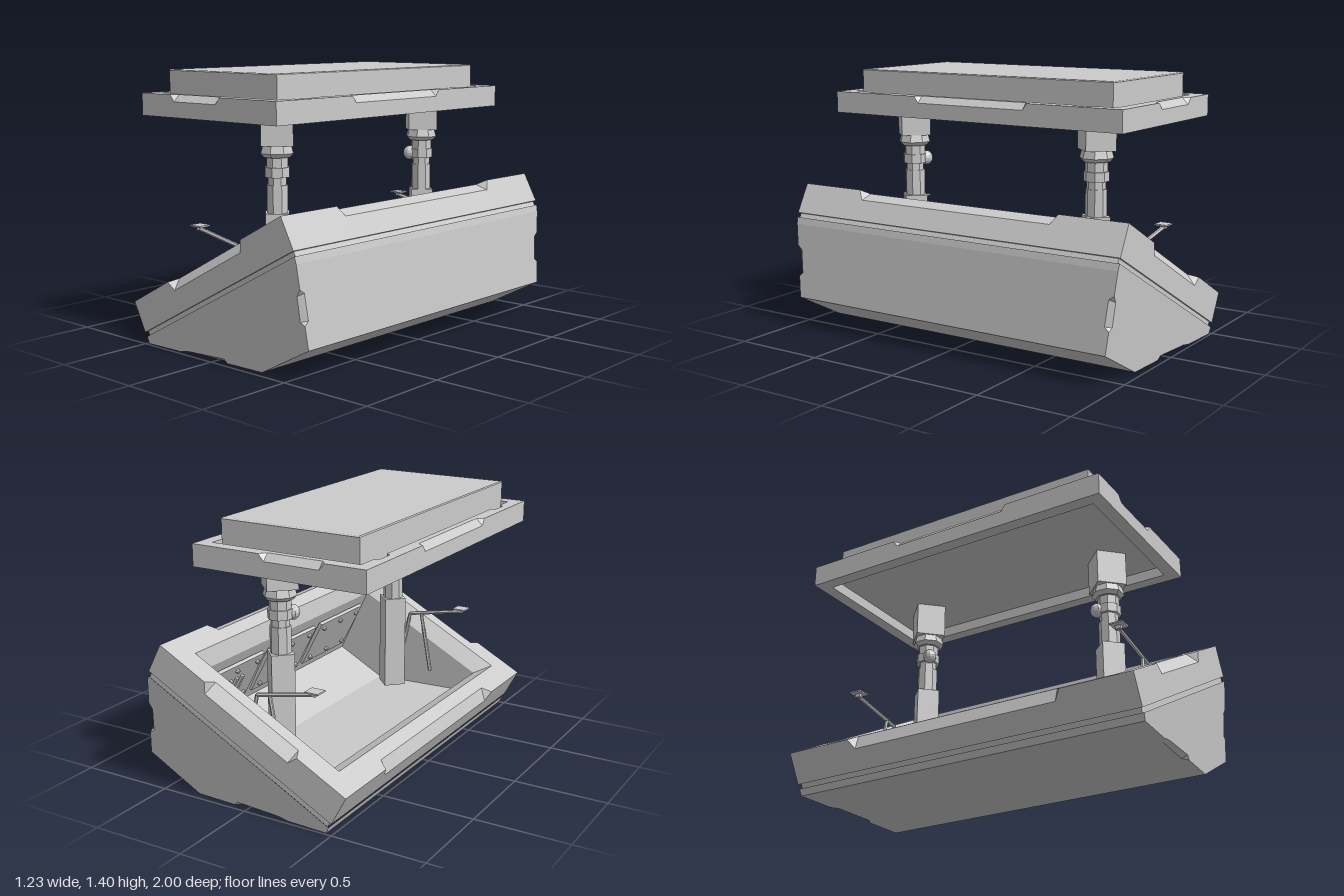
import * as THREE from 'three';

const grey = new THREE.MeshStandardMaterial({ color: 0xcccccc, flatShading: true });
const greyBoth = new THREE.MeshStandardMaterial({ color: 0xcccccc, flatShading: true, side: THREE.DoubleSide });

function add(parent, name, geometry, x = 0, y = 0, z = 0, material = grey) {
  const mesh = new THREE.Mesh(geometry, material);
  mesh.name = name;
  mesh.position.set(x, y, z);
  parent.add(mesh);
  return mesh;
}

function faceted(triangles) {
  const g = new THREE.BufferGeometry().setFromPoints(triangles);
  g.computeVertexNormals();
  return g;
}

function quad(out, a, b, c, d) {
  out.push(a, b, c, a, c, d);
}

// Rectangular ring: section(cut, innerCut) lists [inset, height] from outer bottom to inner edge.
// Each side is a list of [offset along the side, cut, innerCut].
function frame(x0, x1, hz, xSide, zSide, section) {
  const back = side => [...side].reverse();
  const stations = [
    [x0, hz, 0, 0], ...xSide.map(([t, c, k = 0]) => [t, hz, c, k]),
    [x1, hz, 0, 0], ...back(zSide).map(([t, c, k = 0]) => [x1, t, c, k]),
    [x1, -hz, 0, 0], ...back(xSide).map(([t, c, k = 0]) => [t, -hz, c, k]),
    [x0, -hz, 0, 0], ...zSide.map(([t, c, k = 0]) => [x0, t, c, k]),
  ];
  const clamp = THREE.MathUtils.clamp;
  const rings = stations.map(([x, z, c, k]) => section(c, k).map(([inset, y]) =>
    new THREE.Vector3(clamp(x, x0 + inset, x1 - inset), y, clamp(z, -hz + inset, hz - inset))));
  const out = [];
  rings.forEach((r, i) => {
    const n = rings[(i + 1) % rings.length];
    for (let j = 0; j < r.length - 1; j++) quad(out, r[j], n[j], n[j + 1], r[j + 1]);
  });
  return faceted(out);
}

// Four stations that describe one chamfered notch along an edge
const notch = (mid, half, slope, cut) =>
  [[mid - half, 0], [mid - half + slope, cut], [mid + half - slope, cut], [mid + half, 0]];

// Trough with an open top: path of [x, y, edgeCut] run counter-clockwise, capped at both ends
function trough(path, halfZ) {
  const cx = path.reduce((s, p) => s + p[0], 0) / path.length;
  const cy = path.reduce((s, p) => s + p[1], 0) / path.length;
  const out = [];
  const face = ([x, y, c = 0], s) => new THREE.Vector3(x, y, s * (halfZ(y) - c));
  const cap = ([x, y, c = 0], s) => {
    const k = c / Math.hypot(cx - x, cy - y);
    const yy = y + (cy - y) * k;
    return new THREE.Vector3(x + (cx - x) * k, yy, s * halfZ(yy));
  };
  path.forEach((p, i) => {
    const q = path[(i + 1) % path.length];
    for (const s of [1, -1]) {
      const [a, b] = s > 0 ? [p, q] : [q, p];
      out.push(new THREE.Vector3(cx, cy, s * halfZ(cy)), cap(a, s), cap(b, s));
      if (i < path.length - 1 && (p[2] || q[2])) quad(out, face(a, s), face(b, s), cap(b, s), cap(a, s));
    }
    if (i < path.length - 1) quad(out, face(p, -1), face(q, -1), face(q, 1), face(p, 1));
  });
  return faceted(out);
}

// Points along an edge with a notch in its middle
function notchedEdge([ax, ay], [bx, by]) {
  return [[0, 0], [0.29, 0], [0.34, 0.026], [0.66, 0.026], [0.71, 0]]
    .map(([t, c]) => [ax + (bx - ax) * t, ay + (by - ay) * t, c]);
}

function rod(parent, name, a, b, r) {
  const from = new THREE.Vector3(...a), to = new THREE.Vector3(...b);
  const dir = to.clone().sub(from);
  const mesh = add(parent, name, new THREE.CylinderGeometry(r, r, dir.length(), 6));
  mesh.position.copy(from).addScaledVector(dir, 0.5);
  mesh.quaternion.setFromUnitVectors(new THREE.Vector3(0, 1, 0), dir.normalize());
}

// Tilted open case, built in its own frame with the rim plane at y = 0
function buildCase() {
  const base = new THREE.Group();
  base.name = 'case';
  base.position.set(-0.58, 0.215, 0);
  base.rotation.z = Math.atan2(0.565, 1.065);
  const W = 1.206;

  add(base, 'caseRim', frame(0, W, 1, notch(W / 2, 0.3, 0.03, 0.055), notch(0, 0.62, 0.035, 0.055),
    c => [[0.02, -0.17], [0, -0.17], [0, -c], [c, 0], [0.13, 0], [0.19, -0.08]]));
  add(base, 'caseSeam', frame(0, W, 1, [], [], () => [[0.012, -0.205], [0.012, -0.165]]));

  const low = [0, -0.233], bottomLow = [0.687, -0.603], bottomHigh = [1.032, -0.603], high = [1.19, -0.23];
  add(base, 'caseBody', trough(
    [[0.003, -0.195], ...notchedEdge(low, bottomLow), bottomLow, ...notchedEdge(bottomHigh, high), high, [1.2, -0.195]],
    y => 1 + (y + 0.2) * 0.11));
  add(base, 'caseLining', trough(
    [[0.19, -0.08], [0.19, -0.22], [0.687, -0.5], [1.0, -0.5], [1.016, -0.08]], () => 0.81), 0, 0, 0, greyBoth);

  // Equipment panels and fasteners on the tall inner wall
  for (const z of [-0.52, 0, 0.52]) {
    add(base, 'innerPanel', new THREE.BoxGeometry(0.02, 0.3, 0.46), 0.998, -0.29, z);
    for (const dz of [-0.18, 0, 0.18]) for (const y of [-0.18, -0.4]) {
      const bolt = add(base, 'panelBolt', new THREE.CylinderGeometry(0.013, 0.013, 0.02, 8), 0.983, y, z + dz);
      bolt.rotation.z = Math.PI / 2;
    }
  }
  for (let i = 0; i < 5; i++)
    add(base, 'ventSlat', new THREE.BoxGeometry(0.02, 0.1, 0.02), 0.984, -0.29, -0.64 + i * 0.05);
  return base;
}

// Raised lid: notched frame, recessed tray and top panel
function buildLid() {
  const lid = new THREE.Group();
  lid.name = 'lid';
  const recess = s => [[s * 0.64 - 0.065, 0, 0], [s * 0.64 - 0.045, 0, 0.025],
    [s * 0.64 + 0.045, 0, 0.025], [s * 0.64 + 0.065, 0, 0]];
  add(lid, 'lidFrame', frame(-0.62, 0.35, 0.885, notch(-0.218, 0.182, 0.03, 0.035),
    [...recess(-1), ...notch(0, 0.35, 0.025, 0.035), ...recess(1)],
    (c, k) => [[0.07, 1.17], [0, 1.17], [0, 1.285 - c], [c, 1.285], [0.07 - k, 1.285], [0.07, 1.25], [0.07, 1.17]]));
  add(lid, 'lidTray', new THREE.BoxGeometry(0.84, 0.025, 1.64), -0.135, 1.24, 0);
  add(lid, 'topPanel', new THREE.BoxGeometry(0.775, 0.155, 1.56), -0.137, 1.3225, 0);
  const edge = add(lid, 'topPanelEdge', new THREE.CylinderGeometry(0.5 * Math.SQRT2, 0.507 * Math.SQRT2, 0.005, 4, 1)
    .rotateY(Math.PI / 4), -0.137, 1.4025, 0);
  edge.scale.set(0.765, 1, 1.55);
  return lid;
}

// Telescopic post from the case floor to the lid
function buildPost(s) {
  const post = new THREE.Group();
  post.name = 'post';
  post.position.set(0.052, 0, s * 0.583);
  const stage = (name, rTop, rBottom, y0, y1, sides) => {
    const turn = sides === 8 ? Math.PI / 8 : 0;
    add(post, name, new THREE.CylinderGeometry(rTop, rBottom, y1 - y0, sides).rotateY(turn), 0, (y0 + y1) / 2, 0);
  };
  stage('postFoot', 0.085, 0.085, 0.17, 0.7, 4);
  stage('postShaft', 0.056, 0.056, 0.69, 0.84, 8);
  stage('postSlide', 0.05, 0.05, 0.83, 0.88, 8);
  stage('postJoint', 0.066, 0.066, 0.88, 0.93, 8);
  stage('postNeck', 0.058, 0.058, 0.93, 0.98, 8);
  stage('postCollar', 0.088, 0.07, 0.98, 1.0, 8);
  stage('postCollarTop', 0.076, 0.088, 1.0, 1.045, 8);
  stage('postHead', 0.113, 0.113, 1.04, 1.235, 4);
  const knob = add(post, 'lockingKnob', new THREE.SphereGeometry(0.038, 10, 8), -0.045, 0.905, -s * 0.045);
  knob.scale.y = 1.05;
  return post;
}

// Slim arm with a small pad, held up by two struts
function buildArm(s) {
  const arm = new THREE.Group();
  arm.name = 'arm';
  const z = s * 0.8;
  rod(arm, 'armRod', [0.05, 0.54, z], [-0.29, 0.605, z], 0.011);
  add(arm, 'armPadStem', new THREE.BoxGeometry(0.022, 0.02, 0.03), -0.288, 0.608, z);
  add(arm, 'armPad', new THREE.BoxGeometry(0.075, 0.008, 0.07), -0.288, 0.621, z);
  rod(arm, 'armStrut', [-0.025, 0.555, z], [-0.09, 0.2, z], 0.01);
  rod(arm, 'armStrut', [0.05, 0.54, z], [0.13, 0.16, z], 0.01);
  return arm;
}

export function createModel() {
  const model = new THREE.Group();
  model.name = 'openCase';
  model.add(buildCase(), buildLid());
  for (const s of [1, -1]) model.add(buildPost(s), buildArm(s));
  return model;
}
